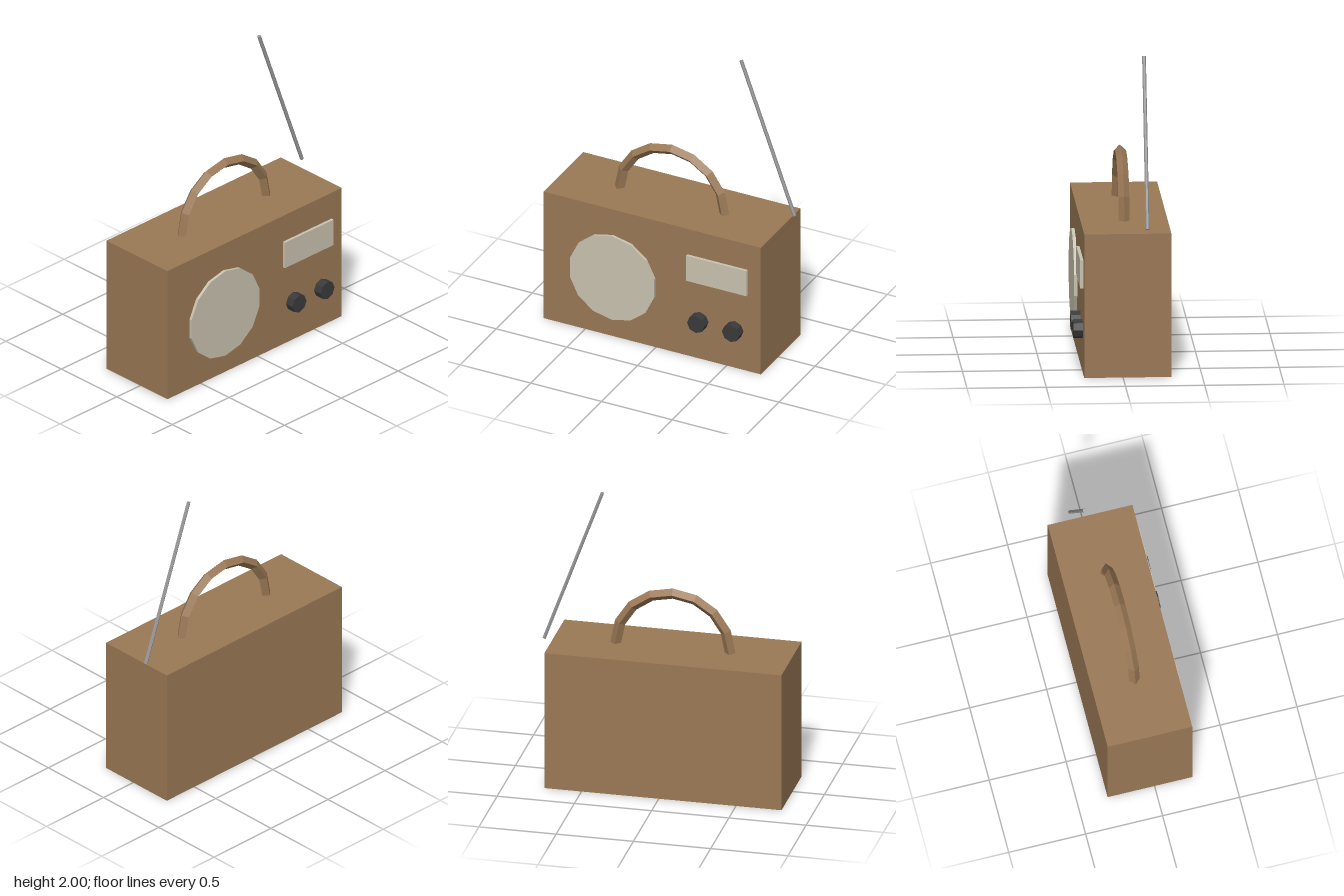
import * as THREE from 'three';

const mat = (name, color) => {
  const m = new THREE.MeshStandardMaterial({ color, flatShading: true });
  m.name = name;
  return m;
};

export function createModel() {
  const radio = new THREE.Group();
  radio.name = 'portableRadio';

  const wood = mat('brown', 0x9a7855);
  const cream = mat('cream', 0xc8c2ae);
  const dark = mat('charcoal', 0x3a3a3a);
  const metal = mat('grey metal', 0x9a9a9c);

  const add = (name, geometry, material, x, y, z) => {
    const mesh = new THREE.Mesh(geometry, material);
    mesh.name = name;
    mesh.position.set(x, y, z);
    radio.add(mesh);
    return mesh;
  };

  const cx = -0.027, cz = -0.03, top = 0.925, front = 0.245;

  // Case
  add('case', new THREE.BoxGeometry(1.535, top, 0.55), wood, cx, top / 2, cz);

  // Half-ring carrying handle with a diamond section
  add('handle', new THREE.TorusGeometry(0.37, 0.035, 4, 8, Math.PI), wood, cx, top, cz);

  // Speaker disc and tuning window on the front
  const disc = (r, depth, sides) => new THREE.CylinderGeometry(r, r, depth, sides).rotateX(Math.PI / 2);
  add('speaker', disc(0.305, 0.02, 14), cream, -0.302, 0.435, front + 0.01);
  add('tuningWindow', new THREE.BoxGeometry(0.428, 0.183, 0.02), cream, 0.436, 0.648, front + 0.01);

  // Knobs
  for (const [name, x] of [['volumeKnob', 0.311], ['tuningKnob', 0.558]]) {
    add(name, disc(0.061, 0.06, 8), dark, x, 0.28, front + 0.03);
  }

  // Tilted antenna
  const antenna = add('antenna', new THREE.CylinderGeometry(0.012, 0.012, 1.1, 6), metal, 0.589, 1.479, -0.152);
  antenna.rotation.z = 0.35;

  return radio;
}
